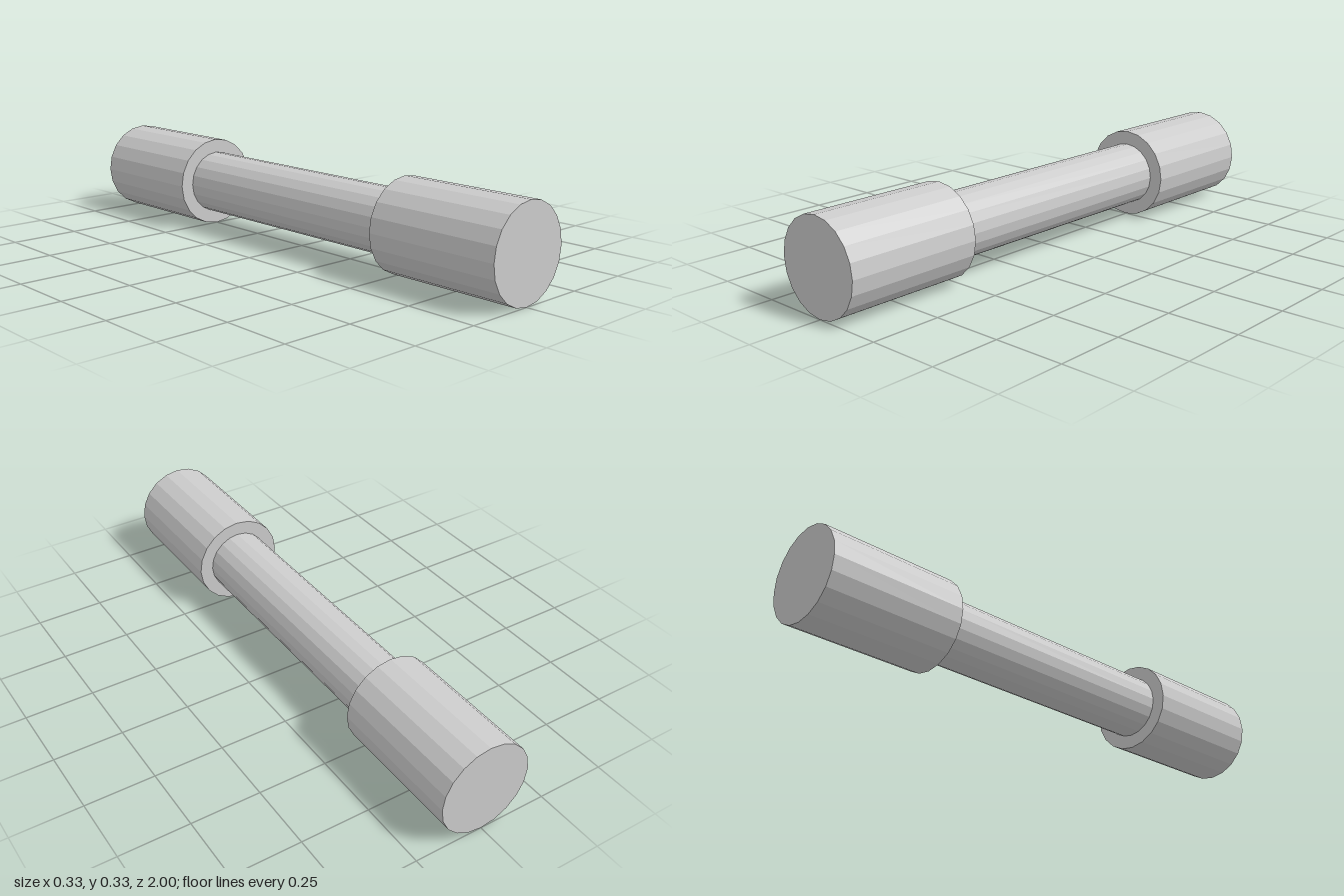
import * as THREE from 'three';

const SIDES = 20;
const HEAD_RADIUS = 1 / 6;
const SHAFT_RADIUS = 0.116;

export function createModel() {
  const group = new THREE.Group();
  const material = new THREE.MeshStandardMaterial({ color: 0xcccccc, flatShading: true });

  // Faceted cylinder lying along z, on the shared axis
  function addCylinder(name, radius, length, z, openEnded = false) {
    const geometry = new THREE.CylinderGeometry(radius, radius, length, SIDES, 1, openEnded);
    geometry.rotateX(Math.PI / 2);
    const mesh = new THREE.Mesh(geometry, material);
    mesh.name = name;
    mesh.position.set(0, HEAD_RADIUS, z);
    group.add(mesh);
  }

  // Slim bar between the two heads
  addCylinder('shaft', SHAFT_RADIUS, 1, 0, true);

  // Thick cylindrical heads at both ends
  addCylinder('frontHead', HEAD_RADIUS, 0.5, 0.75);
  addCylinder('backHead', HEAD_RADIUS, 0.5, -0.75);

  return group;
}
